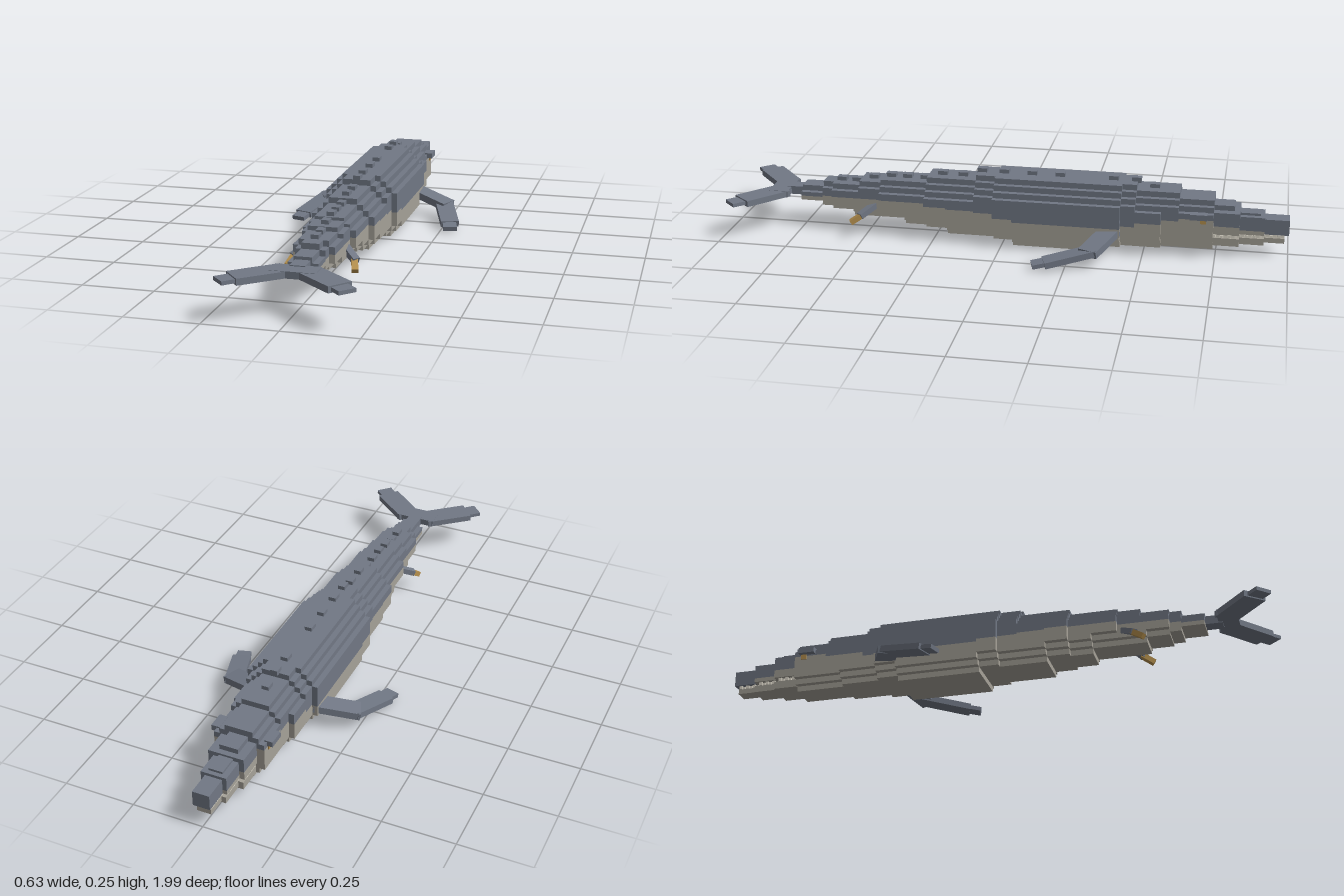
import * as THREE from 'three';

const mat = (name, color) => {
  const m = new THREE.MeshStandardMaterial({ color });
  m.name = name;
  return m;
};

export function createModel() {
  const whale = new THREE.Group();
  whale.name = 'whale';
  const hide = mat('slate hide', 0x717885);
  const belly = mat('pale belly', 0xa6a298);
  const claw = mat('ochre', 0xb8924f);
  const ivory = mat('ivory', 0xe2ddcf);

  // Axis-aligned box given by its limits
  const block = (name, m, x0, x1, y0, y1, z0, z1) => {
    const mesh = new THREE.Mesh(new THREE.BoxGeometry(x1 - x0, y1 - y0, z1 - z0), m);
    mesh.position.set((x0 + x1) / 2, (y0 + y1) / 2, (z0 + z1) / 2);
    mesh.name = name;
    whale.add(mesh);
  };

  // Slanted box running from a to b, mirrored to both sides
  const limbPair = (name, m, a, b, width, thick) => {
    for (const s of [1, -1]) {
      const p = new THREE.Vector3(a[0] * s, a[1], a[2]);
      const q = new THREE.Vector3(b[0] * s, b[1], b[2]);
      const dir = q.clone().sub(p);
      const length = dir.length();
      dir.normalize();
      const side = new THREE.Vector3(0, 1, 0).cross(dir).normalize();
      const up = dir.clone().cross(side);
      const mesh = new THREE.Mesh(new THREE.BoxGeometry(width, thick, length), m);
      mesh.quaternion.setFromRotationMatrix(new THREE.Matrix4().makeBasis(side, up, dir));
      mesh.position.copy(p).add(q).multiplyScalar(0.5);
      mesh.name = (s > 0 ? 'left ' : 'right ') + name;
      whale.add(mesh);
    }
  };

  // Layer split into pale and slate at the colour line
  const layer = (w, y0, y1, z0, z1, line) => {
    if (y0 < line) block('bodyBelly', belly, -w, w, y0, Math.min(y1, line), z0, z1);
    if (y1 > line) block('bodyBack', hide, -w, w, Math.max(y0, line), y1, z0, z1);
  };

  // Body segments: z start, z end, half width, top, bottom, colour line
  const segments = [
    [-0.74, -0.62, 0.09, 0.20, 0.02, 0.14],
    [-0.62, -0.56, 0.09, 0.22, 0.02, 0.13],
    [-0.56, -0.47, 0.11, 0.22, 0.02, 0.12],
    [-0.47, -0.42, 0.11, 0.24, 0.02, 0.105],
    [-0.42, -0.34, 0.13, 0.24, 0.02, 0.10],
    [-0.34, -0.04, 0.13, 0.24, 0.00, 0.10],
    [-0.04, 0.03, 0.13, 0.24, 0.02, 0.11],
    [0.03, 0.10, 0.11, 0.24, 0.02, 0.12],
    [0.10, 0.20, 0.11, 0.22, 0.02, 0.125],
    [0.20, 0.28, 0.11, 0.22, 0.04, 0.13],
    [0.28, 0.36, 0.09, 0.20, 0.04, 0.135],
    [0.36, 0.45, 0.09, 0.20, 0.06, 0.135],
    [0.45, 0.53, 0.07, 0.19, 0.06, 0.13],
    [0.53, 0.55, 0.07, 0.175, 0.06, 0.13],
    [0.55, 0.63, 0.07, 0.175, 0.08, 0.13],
    [0.63, 0.67, 0.05, 0.175, 0.09, 0.125],
    [0.67, 0.75, 0.05, 0.155, 0.105, 0.12],
    [0.75, 0.81, 0.025, 0.145, 0.115, 0.115],
  ];
  for (const [z0, z1, w, top, bottom, line] of segments) {
    const up = w > 0.1 ? 3 : w > 0.08 ? 2 : w > 0.04 ? 1 : 0;
    const down = w > 0.08 ? 2 : w > 0.06 ? 1 : 0;
    layer(w, bottom + down * 0.02, top - up * 0.02, z0, z1, line);
    for (let k = 1; k <= up; k++) {
      const y = top - (up - k + 1) * 0.02;
      layer(w - k * 0.02, y, y + 0.02, z0, z1, line);
    }
    for (let k = 1; k <= down; k++) {
      const y = bottom + (down - k) * 0.02;
      layer(w - k * 0.02, y, y + 0.02, z0, z1, line);
    }
  }

  // Row of bumps along the spine
  const bumps = [-0.53, -0.465, -0.385, -0.195, -0.095, 0.005, 0.085, 0.155,
    0.23, 0.295, 0.36, 0.42, 0.485, 0.55, 0.605];
  for (const z of bumps) {
    const top = segments.find((s) => z < s[1])[3];
    block('spineBump', hide, -0.013, 0.013, top - 0.005, top + 0.014, z - 0.017, z + 0.017);
  }

  // Stepped snout, lower jaw and teeth: z start, z end, half width, top, jaw bottom
  const snout = [
    [-1.0, -0.915, 0.03, 0.135, 0.048],
    [-0.915, -0.83, 0.045, 0.145, 0.042],
    [-0.83, -0.74, 0.063, 0.16, 0.038],
  ];
  snout.forEach(([z0, z1, w, top, jaw], i) => {
    layer(w, 0.08, top, z0, z1, [0.08, 0.095, 0.11][i]);
    block('lowerJaw', belly, -w + 0.005, w - 0.005, jaw, 0.066, z0 + (i ? 0 : 0.015), z1);
    for (const s of [-1, 1]) {
      const x = s * (w - 0.011);
      for (let k = 0; k < 3; k++) {
        const z = z0 + 0.022 + k * 0.026;
        block('upperTooth', ivory, x - 0.005, x + 0.005, 0.068, 0.081, z - 0.006, z + 0.006);
        block('lowerTooth', ivory, x - 0.005, x + 0.005, 0.065, 0.076, z + 0.008, z + 0.018);
      }
    }
  });
  block('snoutRidge', hide, -0.025, 0.025, 0.14, 0.153, -0.9, -0.83);
  block('headRidge', hide, -0.033, 0.033, 0.155, 0.178, -0.81, -0.74);

  // Brows and eyes
  for (const s of [-1, 1]) {
    const span = (a, b) => (s > 0 ? [a, b] : [-b, -a]);
    block('brow', hide, ...span(0.08, 0.11), 0.145, 0.165, -0.72, -0.66);
    block('eye', claw, ...span(0.088, 0.094), 0.127, 0.145, -0.715, -0.695);
  }

  // Front flippers
  limbPair('upperFlipper', hide, [0.10, 0.085, -0.39], [0.245, 0.05, -0.325], 0.07, 0.026);
  limbPair('lowerFlipper', hide, [0.222, 0.055, -0.35], [0.28, 0.02, -0.18], 0.066, 0.022);
  limbPair('flipperTip', hide, [0.272, 0.024, -0.20], [0.289, 0.013, -0.14], 0.05, 0.015);

  // Small hind legs
  limbPair('hindLeg', hide, [0.06, 0.108, 0.47], [0.108, 0.078, 0.515], 0.025, 0.02);
  limbPair('hindFoot', claw, [0.10, 0.082, 0.505], [0.113, 0.054, 0.548], 0.022, 0.018);

  // Tail flukes
  block('flukeRoot', hide, -0.075, 0.075, 0.119, 0.142, 0.795, 0.865);
  limbPair('fluke', hide, [0.035, 0.13, 0.82], [0.17, 0.13, 0.935], 0.085, 0.022);
  limbPair('flukeTip', hide, [0.15, 0.13, 0.918], [0.202, 0.13, 0.968], 0.06, 0.013);

  return whale;
}
